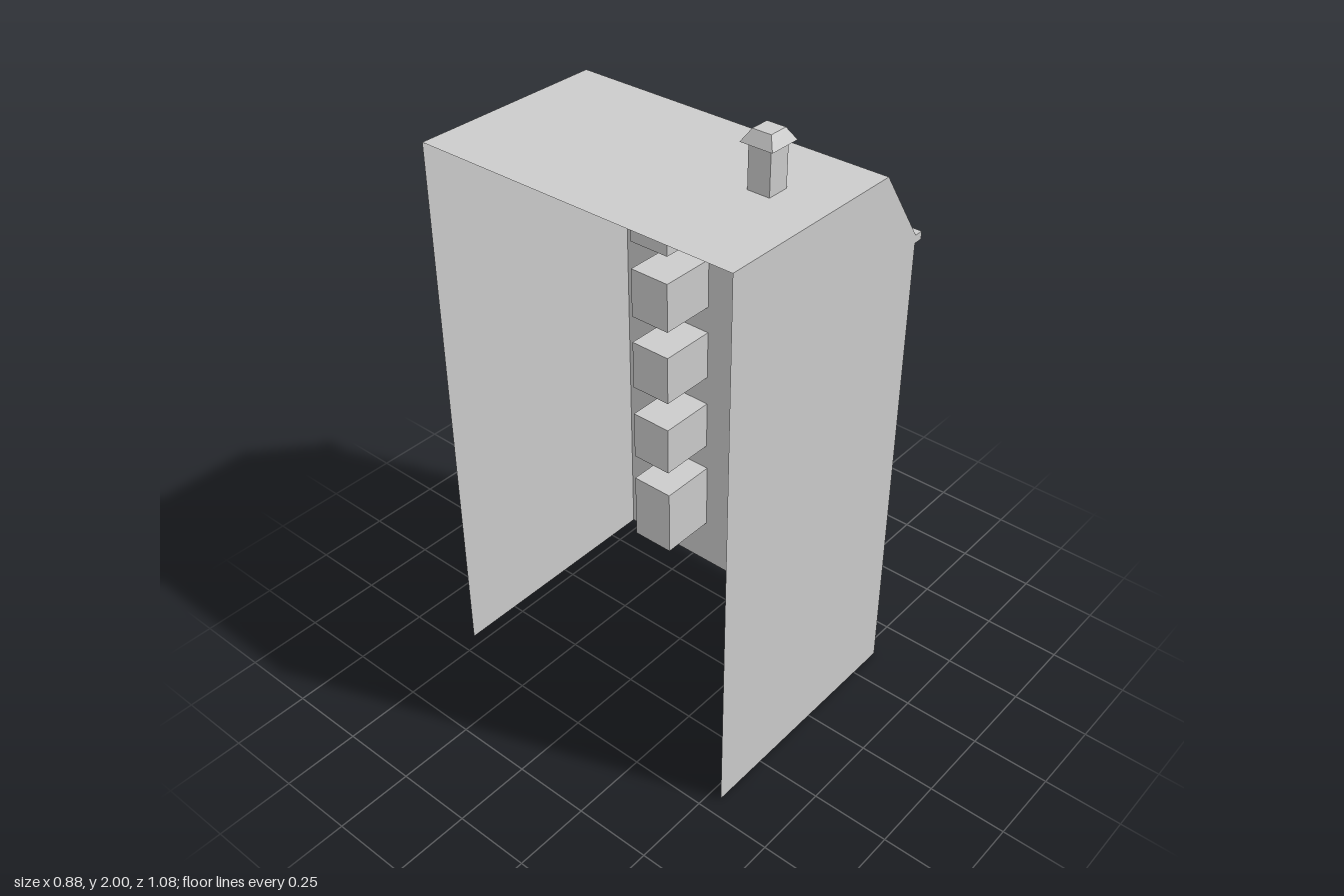
import * as THREE from 'three';

const WALL = 0.367, BACK = -0.443, HALF = 0.538, EAVE = 1.588, TOP = 1.829, RIDGE = 0.203;
const DEPTH = 0.2;
const mat = new THREE.MeshStandardMaterial({ color: 0xcccccc, flatShading: true });
const shellMat = new THREE.MeshStandardMaterial({ color: 0xcccccc, flatShading: true, side: THREE.DoubleSide });

function add(parent, name, geometry, material = mat) {
  const mesh = new THREE.Mesh(geometry, material);
  mesh.name = name;
  parent.add(mesh);
  return mesh;
}

// Box given by its minimum and maximum on each axis
function box(x0, x1, y0, y1, z0, z1) {
  return new THREE.BoxGeometry(x1 - x0, y1 - y0, z1 - z0)
    .translate((x0 + x1) / 2, (y0 + y1) / 2, (z0 + z1) / 2);
}

// Rectangle outline in a plane
function rect(u0, u1, v0, v1, Type = THREE.Shape) {
  return new Type([[u0, v0], [u1, v0], [u1, v1], [u0, v1]].map(p => new THREE.Vector2(...p)));
}

// Niche behind an opening: a box without its outer (+x) side
function niche(y0, y1, z0, z1) {
  const g = box(WALL - DEPTH, WALL, y0, y1, z0, z1);
  g.setIndex(Array.from(g.index.array).slice(6));
  return g;
}

// Window frame with a small railed balcony, centred on z = 0, standing on y = 0
function makeWindow() {
  const win = new THREE.Group();
  win.name = 'window';
  const w = 0.086, i = 0.074, h = 0.215, out = 0.395, edge = 0.439, slab = 0.026;

  const outline = rect(-w, w, 0, h);
  outline.holes.push(rect(-i, i, slab, h - 0.014, THREE.Path));
  const frame = new THREE.ExtrudeGeometry(outline, { depth: out - WALL, bevelEnabled: false });
  add(win, 'windowFrame', frame.rotateY(Math.PI / 2).translate(WALL, 0, 0));
  add(win, 'windowNiche', niche(slab, h - 0.014, -i, i), shellMat);
  add(win, 'balconySlab', box(out, edge, 0, slab, -w, w));

  // Handrail on three sides
  const r = 0.009, y0 = 0.046, y1 = 0.055;
  add(win, 'frontRail', box(edge - r, edge, y0, y1, -w, w));
  for (const s of [-1, 1]) {
    const z = s * (w - r / 2);
    add(win, 'sideRail', box(out, edge - r, y0, y1, z - r / 2, z + r / 2));
  }

  // Balusters
  const t = 0.0025;
  const baluster = (x, z) => add(win, 'baluster', box(x - t, x + t, slab, y0, z - t, z + t));
  const n = 11, zEnd = w - r / 2, xEnd = edge - r / 2;
  for (let k = 0; k < n; k++) baluster(xEnd, -zEnd + (2 * zEnd * k) / (n - 1));
  for (const x of [0.401, 0.418]) for (const s of [-1, 1]) baluster(x, s * zEnd);
  return win;
}

export function createModel() {
  const model = new THREE.Group();
  model.name = 'townHouse';

  // Side walls with the roof slope cut off one corner
  const gable = new THREE.Shape([[BACK, 0], [WALL, 0], [WALL, EAVE], [RIDGE, TOP], [BACK, TOP]]
    .map(p => new THREE.Vector2(...p)));
  for (const s of [-1, 1]) {
    const g = new THREE.ShapeGeometry(gable);
    if (s < 0) g.rotateY(Math.PI).scale(-1, 1, 1);
    add(model, 'sideWall', g.translate(0, 0, s * HALF), shellMat);
  }

  // Flat roof and sloping roof
  const flat = new THREE.PlaneGeometry(RIDGE - BACK, 2 * HALF).rotateX(-Math.PI / 2);
  add(model, 'flatRoof', flat.translate((RIDGE + BACK) / 2, TOP, 0), shellMat);
  const run = WALL - RIDGE, drop = TOP - EAVE;
  const slope = new THREE.PlaneGeometry(Math.hypot(run, drop), 2 * HALF)
    .rotateX(-Math.PI / 2).rotateZ(-Math.atan2(drop, run));
  add(model, 'slopingRoof', slope.translate((WALL + RIDGE) / 2, (TOP + EAVE) / 2, 0), shellMat);

  // Street wall with window and door openings
  const wall = rect(-HALF, HALF, 0, EAVE);
  for (const y of [0.483, 0.765, 1.037, 1.309]) {
    for (const z of [-0.268, 0.268]) {
      wall.holes.push(rect(-z - 0.074, -z + 0.074, y + 0.026, y + 0.201, THREE.Path));
      const win = makeWindow();
      win.position.set(0, y, z);
      model.add(win);
    }
  }
  wall.holes.push(rect(0.19, 0.342, 0.172, 0.415, THREE.Path));
  add(model, 'streetWall', new THREE.ShapeGeometry(wall).rotateY(Math.PI / 2).translate(WALL, 0, 0), shellMat);
  add(model, 'doorNiche', niche(0.172, 0.415, -0.342, -0.19), shellMat);

  // Cornice under the roof slope
  add(model, 'cornice', box(WALL, 0.397, 1.563, EAVE, -HALF, HALF));

  // Chimney with a tapered cap
  const cx = -0.055, cz = 0.338;
  add(model, 'chimneyShaft', box(cx - 0.036, cx + 0.036, TOP, 1.966, cz - 0.036, cz + 0.036));
  const cap = new THREE.CylinderGeometry(0.03 * Math.SQRT2, 0.052 * Math.SQRT2, 0.036, 4)
    .rotateY(Math.PI / 4).translate(cx, 1.982, cz);
  add(model, 'chimneyCap', cap);

  return model;
}
